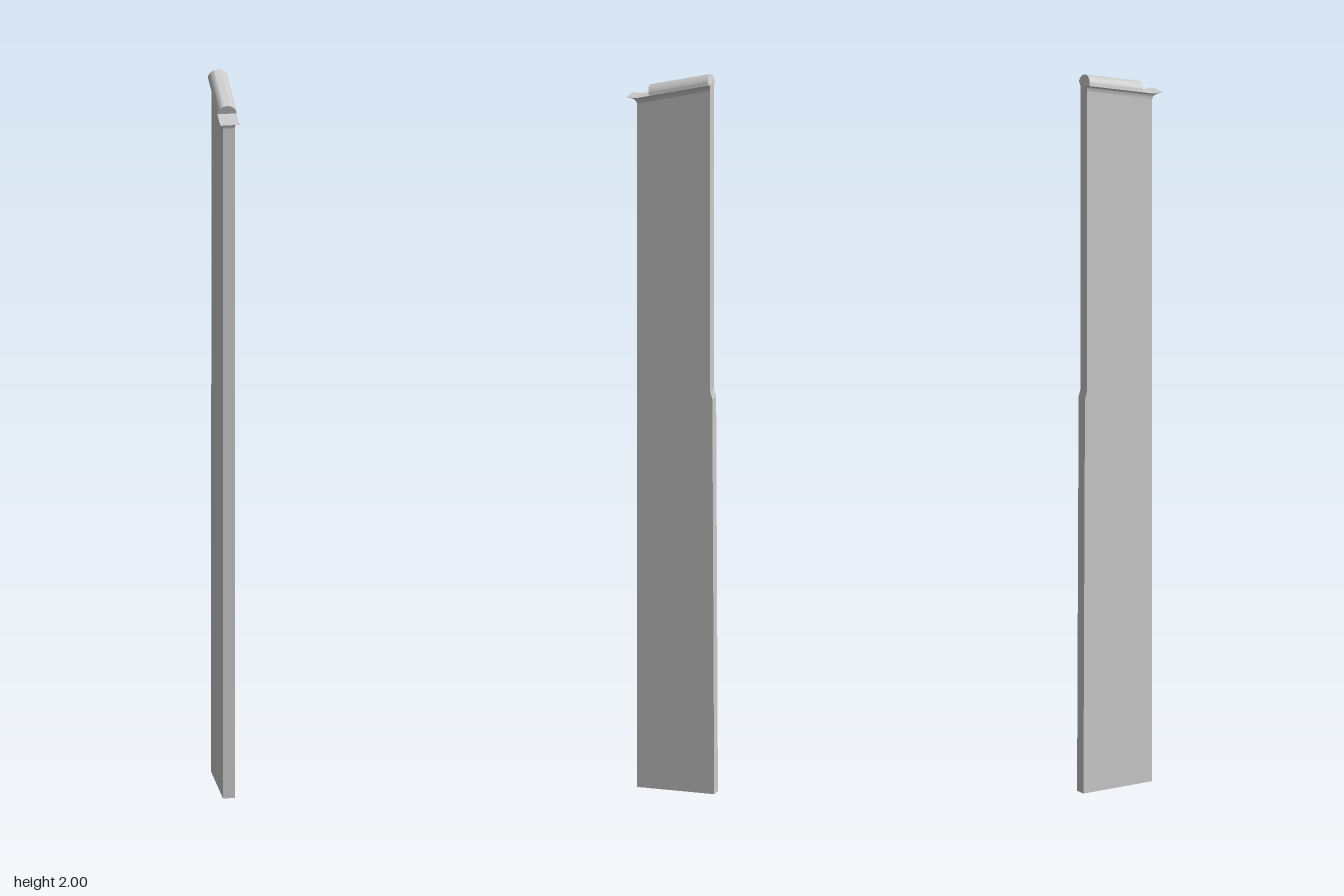
import * as THREE from 'three';
import { toCreasedNormals } from 'three/addons/utils/BufferGeometryUtils.js';

const SLOPE = 0.265;                 // the top falls towards the front
const FRONT = 0.093, BACK = -0.113;
const SLAB_W = 0.016, CAP_W = 0.026; // half widths
const mouldH = 0.018;
const slabTop = (z) => 1.929 - SLOPE * z;

export function createModel() {
  const group = new THREE.Group();
  const material = new THREE.MeshStandardMaterial({ color: 0xcccccc });
  const add = (name, geometry) => {
    const mesh = new THREE.Mesh(geometry, material);
    mesh.name = name;
    group.add(mesh);
    return mesh;
  };

  // Tall slab: side profile drawn as (-z, y), extruded across x
  const profile = new THREE.Shape([
    [-FRONT, 0], [0.124, 0], [0.119, 1.1], [0.113, 1.12],
    [-BACK, slabTop(BACK)], [-FRONT, slabTop(FRONT)],
  ].map(([a, y]) => new THREE.Vector2(a, y)));
  const slab = new THREE.ExtrudeGeometry(profile, { depth: SLAB_W * 2, bevelEnabled: false });
  slab.translate(0, 0, -SLAB_W).rotateY(Math.PI / 2);
  add('slab', slab);

  // Coved moulding that flares from the slab to a thin front lip
  const positions = [], index = [], levels = 6;
  for (let i = 0; i <= levels; i++) {
    const t = i / levels, flare = 1 - Math.sqrt(1 - t * t);
    const w = SLAB_W + (CAP_W - SLAB_W) * flare;
    const tip = FRONT + 0.001 + 0.027 * flare;
    const ring = [[w, BACK], [w, FRONT], [w, tip], [-w, tip], [-w, FRONT], [-w, BACK]];
    for (const [x, z] of ring) {
      positions.push(x, slabTop(Math.min(z, FRONT)) + mouldH * t - 0.0005, z);
    }
    if (i === levels) continue;
    for (let j = 0; j < 6; j++) {
      const a = i * 6 + j, b = i * 6 + (j + 1) % 6;
      index.push(a, a + 6, b, b, a + 6, b + 6);
    }
  }
  const top = levels * 6;
  for (const k of [5, 4, 1, 5, 1, 0, 4, 3, 2, 4, 2, 1]) index.push(top + k);
  const moulding = new THREE.BufferGeometry();
  moulding.setAttribute('position', new THREE.Float32BufferAttribute(positions, 3));
  moulding.setIndex(index);
  add('capMoulding', toCreasedNormals(moulding.toNonIndexed(), 0.6));

  // Half-round ridge lying on the slope, stopping short of the lip
  const arch = new THREE.Shape();
  arch.absellipse(0, 0, CAP_W, 0.025, 0, Math.PI);
  arch.closePath();
  const ridge = new THREE.ExtrudeGeometry(arch, { depth: 0.174, bevelEnabled: false, curveSegments: 24 });
  const roll = add('capRidge', toCreasedNormals(ridge, 0.6));
  roll.position.set(0, 1.976, -0.112);
  roll.rotation.x = Math.atan(SLOPE);

  return group;
}
